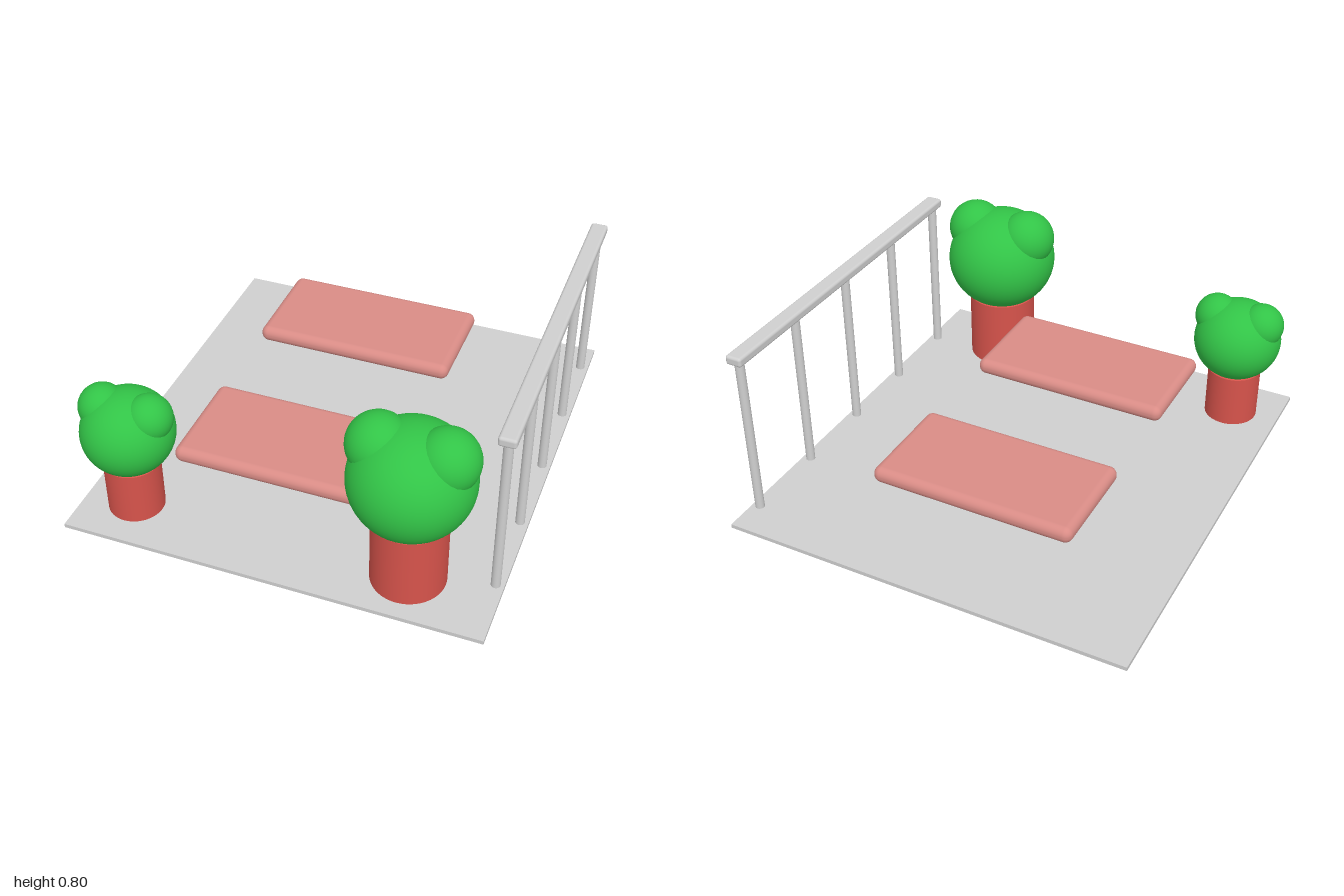
import * as THREE from 'three';
import { RoundedBoxGeometry } from 'three/addons/geometries/RoundedBoxGeometry.js';

const paint = (name, color) => {
  const m = new THREE.MeshStandardMaterial({ color });
  m.name = name;
  return m;
};

export function createModel() {
  const grey = paint('grey', 0xcfcfcf);
  const pink = paint('pink', 0xd98c86);
  const red = paint('red', 0xd6534b);
  const green = paint('green', 0x32c447);

  const model = new THREE.Group();
  model.name = 'patio';
  const add = (parent, name, geometry, material, x, y, z) => {
    const mesh = new THREE.Mesh(geometry, material);
    mesh.name = name;
    mesh.position.set(x, y, z);
    parent.add(mesh);
    return mesh;
  };

  // Floor slab
  add(model, 'floor', new THREE.BoxGeometry(1.816, 0.018, 1.972), grey, 0, 0.009, -0.014);

  // Two floating cushions with rounded edges
  for (const [name, z] of [['backCushion', -0.475], ['frontCushion', 0.435]])
    add(model, name, new RoundedBoxGeometry(0.905, 0.074, 0.48, 5, 0.035), pink, -0.079, 0.268, z);

  // Potted bushes: round pot, squashed ball of leaves and two upper lobes
  const bush = (name, x, z, potRadius, potTop, crownRadius, crownY, lobeRadius, lobeX, lobeY) => {
    const group = new THREE.Group();
    group.name = name;
    group.position.set(x, 0, z);
    model.add(group);
    const profile = [
      [0, 0.001], [potRadius, 0.001], [potRadius, 0.001],
      [potRadius, potTop - 0.008], [potRadius, potTop - 0.008],
      [potRadius - 0.008, potTop], [potRadius - 0.008, potTop], [0, potTop],
    ].map(([r, y]) => new THREE.Vector2(r, y));
    add(group, 'pot', new THREE.LatheGeometry(profile, 48), red, 0, 0, 0);
    const crown = add(group, 'crown', new THREE.SphereGeometry(crownRadius, 48, 32), green, 0, crownY, 0);
    crown.scale.y = 0.94;
    for (const side of [-1, 1])
      add(group, side < 0 ? 'rightLobe' : 'leftLobe',
        new THREE.SphereGeometry(lobeRadius, 32, 24), green, side * lobeX, lobeY, 0);
  };
  bush('smallBush', -0.685, 0.745, 0.12, 0.27, 0.197, 0.417, 0.1, 0.105, 0.514);
  bush('largeBush', 0.53, 0.745, 0.157, 0.352, 0.255, 0.54, 0.13, 0.136, 0.672);

  // Railing along the left edge
  const railing = new THREE.Group();
  railing.name = 'railing';
  model.add(railing);
  for (let i = 0; i < 5; i++)
    add(railing, 'post', new THREE.CylinderGeometry(0.02, 0.02, 0.76, 24), grey, 0.872, 0.39, 0.673 - i * 0.3795);
  add(railing, 'handrail', new RoundedBoxGeometry(0.074, 0.042, 1.59, 4, 0.012), grey, 0.871, 0.779, -0.09);

  return model;
}
